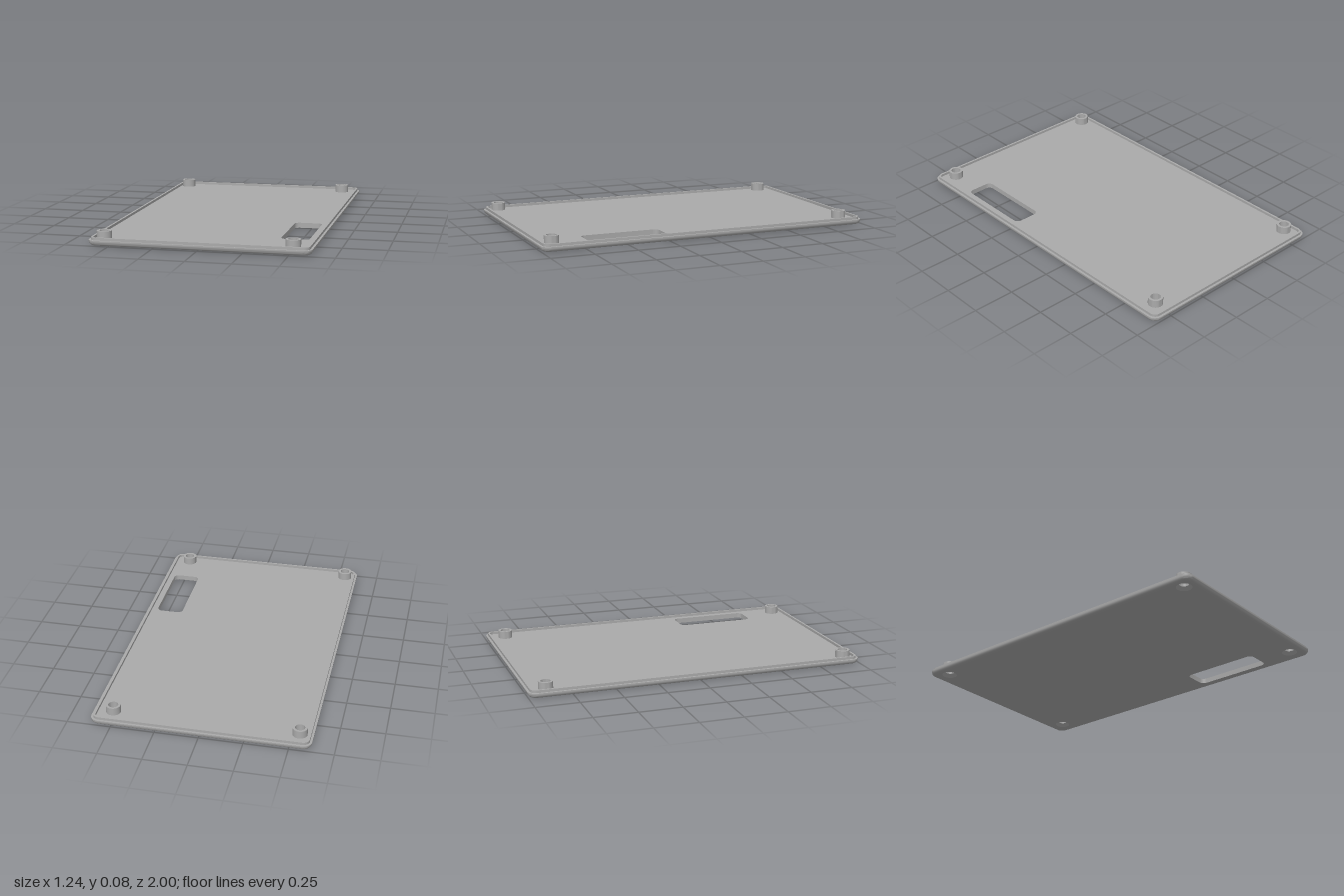
import * as THREE from 'three';
import { toCreasedNormals } from 'three/addons/utils/BufferGeometryUtils.js';

const WIDTH = 1.244, LENGTH = 2, CORNER = 0.05;
const FLOOR = 0.03, RIM_TOP = 0.045, POST_TOP = 0.075, FILLET = 0.025;
const RIM_OUT = 0.013, RIM_IN = 0.025;
const POST_R = 0.042, HOLE_R = 0.028, SINK_R = 0.045;
const WINDOW = { x: 0.482, z: 0.478, w: 0.16, l: 0.472, r: 0.03 };
const POSTS = [[-0.545, -0.891], [0.511, -0.891], [-0.545, 0.916], [0.511, 0.916]];

// Points of a rounded rectangle in x and z, shrunk by inset
function roundedRect(w, l, r, inset = 0, cx = 0, cz = 0) {
  const pts = [], steps = 8;
  for (let q = 0; q < 4; q++) {
    const sx = q === 0 || q === 3 ? 1 : -1, sz = q < 2 ? 1 : -1;
    for (let i = 0; i <= steps; i++) {
      const a = (q + i / steps) * Math.PI / 2;
      pts.push(new THREE.Vector2(
        cx + sx * (w / 2 - r) + (r - inset) * Math.cos(a),
        cz + sz * (l / 2 - r) + (r - inset) * Math.sin(a)));
    }
  }
  return pts;
}

// Skin between stacked loops, each given as [points, height]
function loft(rings) {
  const n = rings[0][0].length, pos = [], index = [];
  for (const [pts, y] of rings) for (const p of pts) pos.push(p.x, y, p.y);
  for (let j = 0; j < rings.length - 1; j++) {
    for (let i = 0; i < n; i++) {
      const k = (i + 1) % n, a = j * n + i, b = a + n, c = j * n + k, d = c + n;
      index.push(a, b, c, b, d, c);
    }
  }
  const g = new THREE.BufferGeometry();
  g.setAttribute('position', new THREE.Float32BufferAttribute(pos, 3));
  g.setIndex(index);
  return toCreasedNormals(g, 0.6);
}

// Flat face with the window and four round holes cut out
function face(y, holeRadius, up) {
  const shape = new THREE.Shape(roundedRect(WIDTH, LENGTH, CORNER, FILLET));
  shape.holes.push(new THREE.Path(
    roundedRect(WINDOW.w, WINDOW.l, WINDOW.r, 0, WINDOW.x, WINDOW.z)));
  for (const [x, z] of POSTS) {
    shape.holes.push(new THREE.Path().absarc(x, z, holeRadius, 0, Math.PI * 2, true));
  }
  const g = new THREE.ShapeGeometry(shape, 16);
  g.rotateX(Math.PI / 2);
  g.translate(0, y, 0);
  if (up) {
    g.setIndex(Array.from(g.index.array).reverse());
    g.computeVertexNormals();
  }
  return g;
}

export function createModel() {
  const group = new THREE.Group();
  const grey = new THREE.MeshStandardMaterial({ color: 0xaaaaaa });
  grey.name = 'grey plastic';
  const add = (name, geometry) => {
    const mesh = new THREE.Mesh(geometry, grey);
    mesh.name = name;
    group.add(mesh);
    return mesh;
  };

  // Rounded lower edge, step and raised rim
  const profile = [];
  for (let i = 0; i <= 6; i++) {
    const a = i / 6 * Math.PI / 2;
    profile.push([FILLET * (1 - Math.sin(a)), FILLET * (1 - Math.cos(a))]);
  }
  profile.push([0, FLOOR], [RIM_OUT, FLOOR], [RIM_OUT, RIM_TOP], [RIM_IN, RIM_TOP], [RIM_IN, FLOOR]);
  add('edgeAndRim', loft(profile.map(([inset, y]) =>
    [roundedRect(WIDTH, LENGTH, CORNER, inset), y])));

  // Underside and inner floor
  add('underside', face(0, SINK_R, false));
  add('floor', face(FLOOR, POST_R, true));

  // Walls of the window opening
  const opening = roundedRect(WINDOW.w, WINDOW.l, WINDOW.r, 0, WINDOW.x, WINDOW.z);
  add('windowWalls', loft([[opening, FLOOR], [opening, 0]]));

  // Hollow screw posts, countersunk from below
  const section = [[POST_R, FLOOR], [POST_R, POST_TOP], [HOLE_R, POST_TOP], [HOLE_R, 0.02], [SINK_R, 0]]
    .map(([r, y]) => new THREE.Vector2(r, y));
  const postGeometry = toCreasedNormals(new THREE.LatheGeometry(section, 32), 0.6);
  for (const [x, z] of POSTS) add('screwPost', postGeometry).position.set(x, 0, z);

  return group;
}
